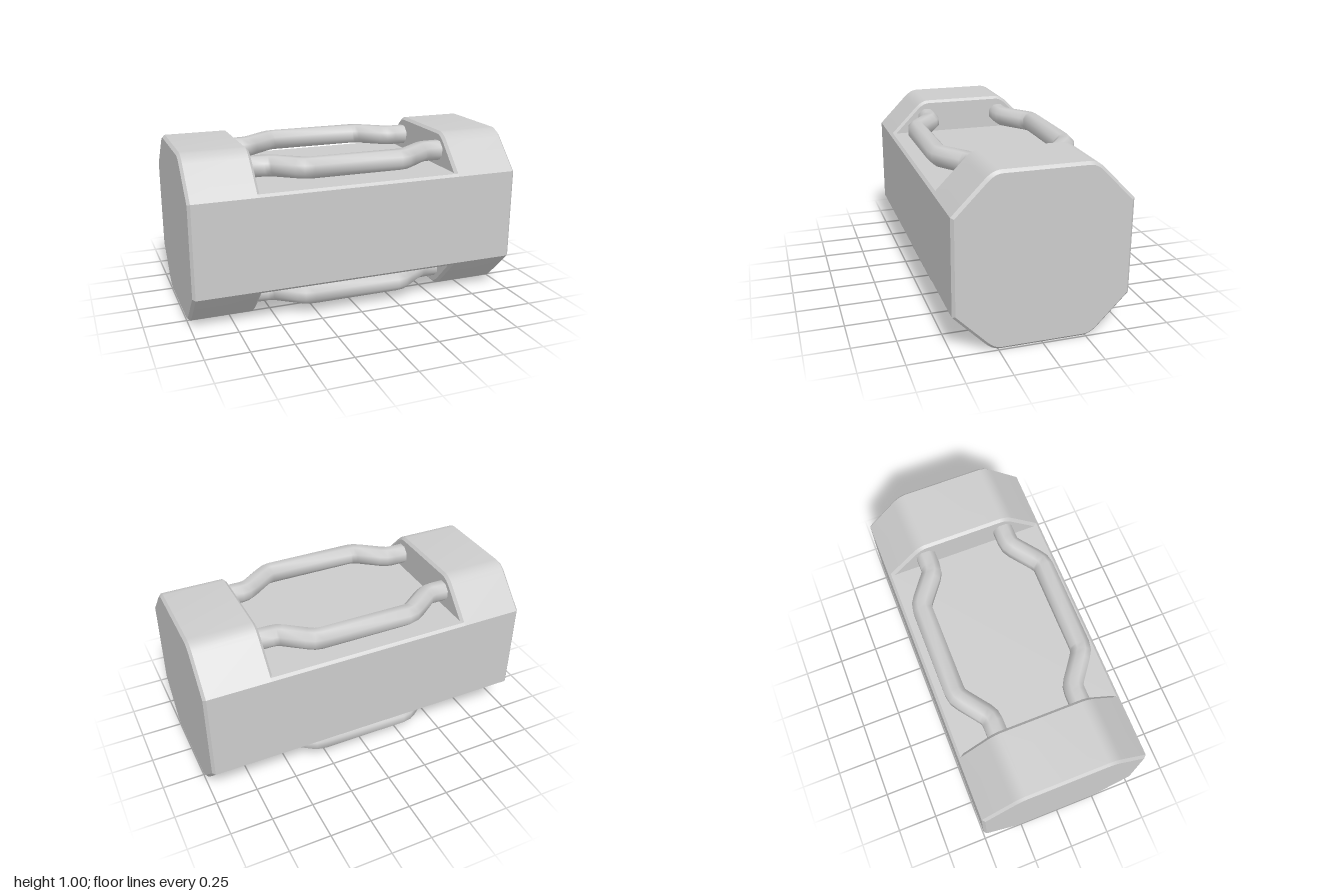
import * as THREE from 'three';
import { toCreasedNormals } from 'three/addons/utils/BufferGeometryUtils.js';

const material = new THREE.MeshStandardMaterial({ color: 0xcccccc });

// Extrudes a z-y outline along x, centred on x = 0
function extrudeAlongX(shape, length, bevel) {
  const geometry = new THREE.ExtrudeGeometry(shape, {
    depth: length - 2 * bevel, curveSegments: 5,
    bevelEnabled: bevel > 0, bevelSegments: 1,
    bevelSize: bevel, bevelThickness: bevel, bevelOffset: -bevel,
  });
  geometry.translate(0, 0, -(length - 2 * bevel) / 2);
  geometry.rotateY(Math.PI / 2);
  return toCreasedNormals(geometry, 0.5);
}

// Octagonal end block, with softened corners at the top and bottom
function capShape() {
  const s = new THREE.Shape();
  s.moveTo(0.5, 0.225);
  s.lineTo(0.5, 0.775);
  s.lineTo(0.323, 0.956);
  s.quadraticCurveTo(0.28, 1, 0.235, 1);
  s.lineTo(-0.235, 1);
  s.quadraticCurveTo(-0.28, 1, -0.323, 0.956);
  s.lineTo(-0.5, 0.775);
  s.lineTo(-0.5, 0.225);
  s.lineTo(-0.323, 0.044);
  s.quadraticCurveTo(-0.28, 0, -0.235, 0);
  s.lineTo(0.235, 0);
  s.quadraticCurveTo(0.28, 0, 0.323, 0.044);
  s.closePath();
  return s;
}

// Middle block with narrow chamfers along its long edges
function bodyShape() {
  return new THREE.Shape([
    [0.5, 0.225], [0.5, 0.775], [0.485, 0.79], [-0.485, 0.79],
    [-0.5, 0.775], [-0.5, 0.225], [-0.485, 0.21], [0.485, 0.21],
  ].map(([z, y]) => new THREE.Vector2(z, y)));
}

// Eight-sided bar swept along a bent path in the x-z plane
function barGeometry() {
  const half = [[0.27, 0.387], [0.305, 0.38], [0.34, 0.358], [0.455, 0.272], [0.485, 0.255], [0.52, 0.25], [0.64, 0.25]];
  const path = [...half.map(([x, z]) => [-x, z]).reverse(), ...half];
  const sides = 8, radius = 0.063;
  const positions = [], index = [];
  path.forEach(([x, z], i) => {
    const a = path[Math.max(i - 1, 0)], b = path[Math.min(i + 1, path.length - 1)];
    const dx = b[0] - a[0], dz = b[1] - a[1], len = Math.hypot(dx, dz);
    for (let k = 0; k < sides; k++) {
      const t = ((k + 0.5) / sides) * Math.PI * 2;
      const u = Math.cos(t) * radius;
      positions.push(x - (dz / len) * u, Math.sin(t) * radius, z + (dx / len) * u);
      if (i > 0) {
        const n = (k + 1) % sides, p = (i - 1) * sides, q = i * sides;
        index.push(p + k, q + k, p + n, q + k, q + n, p + n);
      }
    }
  });
  const geometry = new THREE.BufferGeometry();
  geometry.setAttribute('position', new THREE.Float32BufferAttribute(positions, 3));
  geometry.setIndex(index);
  geometry.computeVertexNormals();
  return geometry;
}

export function createModel() {
  const model = new THREE.Group();
  model.name = 'barredBlock';
  const add = (geometry, name) => {
    const mesh = new THREE.Mesh(geometry, material);
    mesh.name = name;
    model.add(mesh);
    return mesh;
  };

  // Middle block and the two end caps
  add(extrudeAlongX(bodyShape(), 1.232, 0), 'middleBlock');
  const cap = extrudeAlongX(capShape(), 0.4, 0.016);
  add(cap, 'leftEndCap').position.x = 0.8;
  add(cap, 'rightEndCap').position.x = -0.8;

  // Guard bars, two above and two below; the back pair is turned half round
  const bar = barGeometry();
  for (const [level, y] of [['upper', 0.886], ['lower', 0.12]]) {
    for (const [side, turn] of [['Front', 0], ['Back', Math.PI]]) {
      const mesh = add(bar, level + side + 'Bar');
      mesh.position.y = y;
      mesh.rotation.y = turn;
    }
  }
  return model;
}
